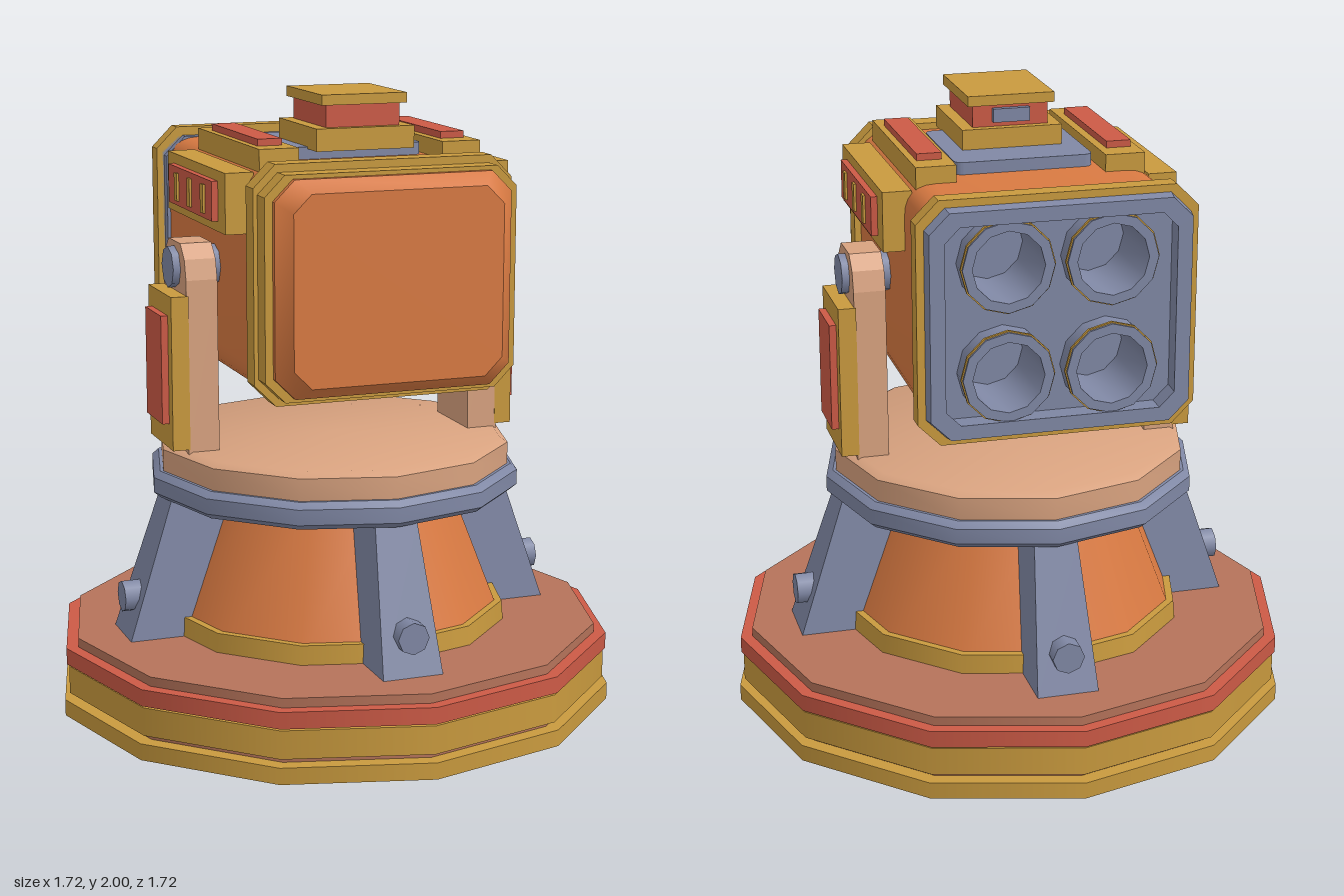
import * as THREE from 'three';
import { toCreasedNormals } from 'three/addons/utils/BufferGeometryUtils.js';

const flat = (name, color) => Object.assign(new THREE.MeshStandardMaterial({ color }), { name });

export function createModel() {
  const orange = flat('orange', 0xd97a42), gold = flat('gold', 0xc99a3e), red = flat('red', 0xcc5a46);
  const slate = flat('slate', 0x8088a5), peach = flat('peach', 0xd8a27f), brown = flat('brown', 0xb5735a);
  const model = new THREE.Group();
  model.name = 'launcherTurret';
  const HY = 1.485; // height of the housing axis

  const add = (name, geo, mat, parent = model) => {
    const m = new THREE.Mesh(geo, mat);
    m.name = name;
    parent.add(m);
    return m;
  };
  // Box given by its limits on each axis
  const box = (name, mat, x0, x1, y0, y1, z0, z1) => add(name,
    new THREE.BoxGeometry(x1 - x0, y1 - y0, z1 - z0)
      .translate((x0 + x1) / 2, (y0 + y1) / 2, (z0 + z1) / 2), mat);
  // Twelve-sided drum
  const drum = (name, mat, r0, r1, y0, y1) => add(name,
    new THREE.CylinderGeometry(r1, r0, y1 - y0, 12).translate(0, (y0 + y1) / 2, 0), mat);
  // Turned twelve-sided part
  const lathe = (pts) => toCreasedNormals(
    new THREE.LatheGeometry(pts.map(p => new THREE.Vector2(...p)), 12), 0.6);

  // Rectangle with cut or rounded corners
  const outline = (w, h, c, round, Type = THREE.Shape) => {
    const s = new Type();
    s.moveTo(-w + c, -h);
    const corner = (cx, cy, x, y) => round ? s.quadraticCurveTo(cx, cy, x, y) : s.lineTo(x, y);
    s.lineTo(w - c, -h); corner(w, -h, w, -h + c);
    s.lineTo(w, h - c); corner(w, h, w - c, h);
    s.lineTo(-w + c, h); corner(-w, h, -w, h - c);
    s.lineTo(-w, -h + c); corner(-w, -h, -w + c, -h);
    return s;
  };
  // Prism along z; the taper scales the ends nearest z0 and z1
  const prism = (name, mat, shape, z0, z1, k0 = 1, k1 = 1) => {
    const g = new THREE.ExtrudeGeometry(shape, { depth: z1 - z0, bevelEnabled: false, curveSegments: 6 });
    const p = g.attributes.position;
    for (let i = 0; i < p.count; i++) {
      const k = p.getZ(i) > (z1 - z0) / 2 ? k1 : k0;
      p.setXY(i, p.getX(i) * k, p.getY(i) * k);
    }
    return add(name, toCreasedNormals(g.translate(0, HY, z0), 0.6), mat);
  };

  // Stepped base
  drum('basePlug', brown, 0.53, 0.53, 0, 0.14);
  drum('baseCore', brown, 0.815, 0.815, 0.128, 0.37);
  drum('baseFlange', gold, 0.86, 0.86, 0.13, 0.18);
  drum('baseBand', gold, 0.845, 0.845, 0.2, 0.285);
  drum('baseRedRing', red, 0.852, 0.852, 0.292, 0.342);

  // Conical pedestal, collar and turntable
  drum('pedestalCone', orange, 0.53, 0.365, 0.37, 0.79);
  drum('pedestalRing', gold, 0.535, 0.53, 0.37, 0.428);
  add('collar', lathe([[0, 0.785], [0.55, 0.785], [0.57, 0.802], [0.57, 0.848], [0.55, 0.866], [0, 0.866]]), slate);
  add('turntable', lathe([[0, 0.866], [0.54, 0.866], [0.54, 0.932], [0.515, 0.947], [0, 0.947]]), peach);

  // Four sloping struts with bolts
  for (let i = 0; i < 4; i++) {
    const strut = new THREE.Group();
    strut.name = 'strut';
    strut.rotation.y = i * Math.PI / 2;
    model.add(strut);
    const g = new THREE.BoxGeometry(1, 1, 1);
    const p = g.attributes.position;
    for (let j = 0; j < p.count; j++) {
      const top = p.getY(j) > 0, outer = p.getZ(j) > 0;
      p.setXYZ(j, Math.sign(p.getX(j)) * (top ? 0.065 : 0.092), top ? 0.79 : 0.37,
        top ? (outer ? 0.535 : 0.3) : (outer ? 0.675 : 0.45));
    }
    g.computeVertexNormals();
    add('strutBeam', g, slate, strut);
    add('strutBolt', new THREE.CylinderGeometry(0.048, 0.048, 0.12, 8)
      .rotateX(Math.PI / 2).translate(0, 0.487, 0.617), slate, strut);
  }

  // Yoke arms, with cover plates and pivots
  const armShape = new THREE.Shape([[-0.12, 0.94], [0.12, 0.94], [0.115, 1.46], [0.1, 1.52], [0.06, 1.562],
    [-0.06, 1.562], [-0.1, 1.52], [-0.115, 1.46]].map(p => new THREE.Vector2(...p)));
  for (const s of [1, -1]) {
    const side = s > 0 ? 'left' : 'right';
    const span = (name, mat, a, b, ...yz) => box(side + name, mat, Math.min(s * a, s * b), Math.max(s * a, s * b), ...yz);
    add(side + 'Arm', new THREE.ExtrudeGeometry(armShape, { depth: 0.095, bevelEnabled: false })
      .rotateY(Math.PI / 2).translate(s * 0.4475 - 0.0475, 0, 0), peach);
    span('ArmCover', gold, 0.49, 0.543, 0.955, 1.415, -0.12, 0.12);
    span('ArmPanel', red, 0.54, 0.564, 1.03, 1.355, -0.083, 0.083);
    add(side + 'Pivot', new THREE.CylinderGeometry(0.062, 0.062, 0.17, 8)
      .rotateZ(Math.PI / 2).translate(s * 0.432, HY, 0), slate);

    // Side vents and top rails on the housing
    span('VentFrame', gold, 0.35, 0.435, 1.62, 1.795, -0.26, 0.31);
    span('VentPanel', red, 0.43, 0.454, 1.65, 1.765, -0.19, 0.242);
    for (const z of [0.165, 0.033, -0.097]) span('VentSlat', gold, 0.45, 0.461, 1.665, 1.748, z - 0.014, z + 0.014);
    span('TopRail', gold, 0.22, 0.338, 1.79, 1.86, -0.26, 0.325);
    span('TopRailStrip', red, 0.245, 0.318, 1.855, 1.88, -0.185, 0.25);
  }

  // Housing, bored for the tubes at the rear
  const centres = [[-0.15, -0.16], [0.15, -0.16], [-0.15, 0.16], [0.15, 0.16]];
  const bored = (shape) => {
    for (const [x, y] of centres) shape.holes.push(new THREE.Path().absarc(x, y, 0.125, 0, Math.PI * 2, true));
    return shape;
  };
  prism('housing', orange, bored(outline(0.372, 0.325, 0.09, true)), -0.46, 0.4);
  prism('frontBand', gold, outline(0.392, 0.345, 0.065), 0.365, 0.43);
  prism('frontStep', gold, outline(0.38, 0.322, 0.06), 0.43, 0.493);
  prism('noseBase', orange, outline(0.357, 0.31, 0.06), 0.48, 0.51);
  prism('nose', orange, outline(0.357, 0.31, 0.06), 0.51, 0.554, 1, 0.885);

  // Rear frame with a recessed floor
  prism('rearCollar', slate, bored(outline(0.382, 0.328, 0.06)), -0.495, -0.455);
  const frame = (w, h, c, iw, ih) => {
    const s = outline(w, h, c);
    s.holes.push(outline(iw, ih, 0.045, false, THREE.Path));
    return s;
  };
  prism('rearBand', gold, frame(0.405, 0.355, 0.065, 0.36, 0.31), -0.54, -0.485);
  prism('rearRim', slate, frame(0.39, 0.34, 0.06, 0.345, 0.297), -0.58, -0.485, 0.965, 1);

  // Four launch tubes
  const tube = lathe([[0.132, 0.3], [0.132, 0.57], [0.104, 0.57], [0.104, 0.33], [0, 0.33]]).rotateX(-Math.PI / 2);
  const tubeRing = lathe([[0.131, 0.553], [0.136, 0.553], [0.136, 0.562], [0.131, 0.562]]).rotateX(-Math.PI / 2);
  for (const [x, y] of centres) {
    add('launchTube', tube, slate).position.set(x, HY + y, 0);
    add('launchTubeRing', tubeRing, gold).position.set(x, HY + y, 0);
  }

  // Roof panel and sensor head
  const roof = new THREE.ExtrudeGeometry(outline(0.205, 0.195, 0.03, true), { depth: 0.04, bevelEnabled: false });
  add('roofPanel', toCreasedNormals(roof.rotateX(-Math.PI / 2).translate(0, 1.806, 0.008), 0.6), slate);
  box('sensorBase', gold, -0.15, 0.15, 1.84, 1.905, -0.05, 0.28);
  box('sensorNeck', red, -0.113, 0.113, 1.9, 1.975, -0.025, 0.255);
  box('sensorCap', gold, -0.13, 0.13, 1.97, 2, -0.038, 0.27);
  box('sensorWindow', slate, -0.055, 0.055, 1.92, 1.96, -0.043, -0.02);
  return model;
}
